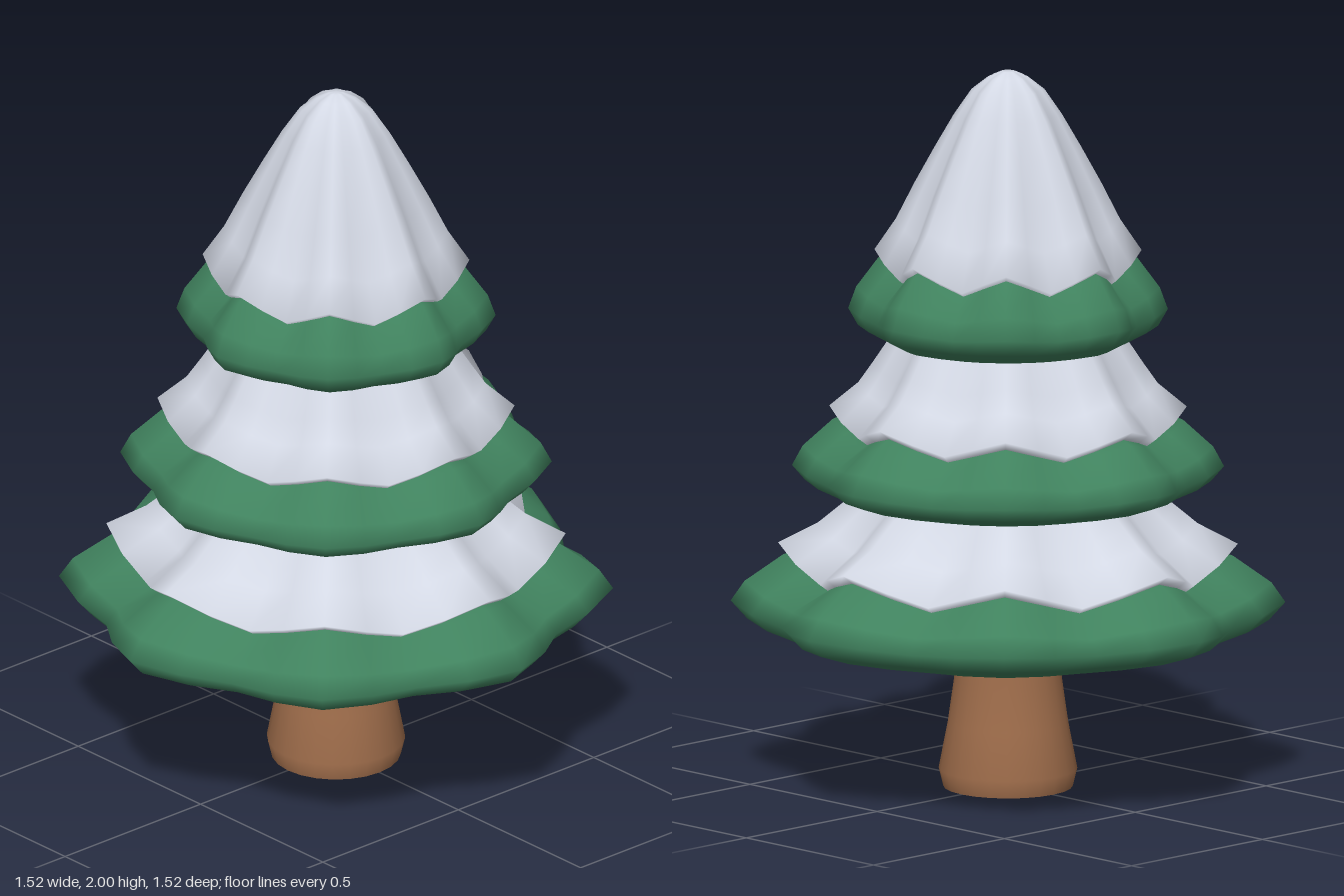
import * as THREE from 'three';

const SEGMENTS = 32;
const LOBES = 8;

const material = (name, color) => {
  const m = new THREE.MeshStandardMaterial({ color });
  m.name = name;
  return m;
};

// Lathe-like surface with eight lobes; profile points run bottom to top as
// [lobe radius, height, drop of the valleys], flute is the valley depth ratio.
function flutedGeometry(profile, flute) {
  const positions = [];
  const indices = [];
  profile.forEach(([r, y, drop], j) => {
    for (let i = 0; i < SEGMENTS; i++) {
      const angle = (i / SEGMENTS) * Math.PI * 2;
      const valley = 0.5 - 0.5 * Math.cos(LOBES * angle);
      const radius = r * (1 - flute * valley);
      positions.push(radius * Math.sin(angle), y - drop * valley, radius * Math.cos(angle));
      if (j === profile.length - 1) continue;
      const a = j * SEGMENTS + i;
      const b = j * SEGMENTS + ((i + 1) % SEGMENTS);
      indices.push(a, b, b + SEGMENTS, a, b + SEGMENTS, a + SEGMENTS);
    }
  });
  const geometry = new THREE.BufferGeometry();
  geometry.setAttribute('position', new THREE.Float32BufferAttribute(positions, 3));
  geometry.setIndex(indices);
  geometry.computeVertexNormals();
  return geometry;
}

// Underside and rolled rim: [radius ratio, depth ratio, drop ratio]
const UNDERSIDE = [[0.001, -1, 0], [0.8, -0.94, 0.15], [0.8, -0.94, 0.15], [0.94, -0.55, 0.2], [1, 0, 0.3]];
// Skirt above the rim: [radius ratio, rise, drop ratio]
const SKIRT = [[0.95, 0.055, 0.5], [0.81, 0.13, 0.85], [0.715, 0.153, 0.8], [0.55, 0.25, 0.4], [0.33, 0.39, 0]];

function foliageProfile({ radius, rim, depth, lift, drop }) {
  const rows = (points, scale) => points.map(([r, y, d]) => [r * radius, rim + y * scale, d * drop]);
  return [...rows(UNDERSIDE, depth), ...rows(SKIRT, lift)];
}

// Snow slope with a tucked-in lip; its scallops fade out towards the top
function snowProfile({ snow, drop }) {
  const [edge, height] = snow[0];
  const slope = snow.map(([r, y]) => [r, y, drop * Math.max(0, (r / edge - 0.42) / 0.58)]);
  return [[edge - 0.04, height - 0.03, drop * 0.95], ...slope];
}

const TIERS = [
  {
    name: 'lower', radius: 0.76, rim: 0.515, depth: 0.092, lift: 1, drop: 0.075, flute: 0.12,
    snow: [[0.63, 0.678], [0.52, 0.735], [0.465, 0.78], [0.41, 0.825], [0.27, 0.98]],
  },
  {
    name: 'middle', radius: 0.592, rim: 0.895, depth: 0.075, lift: 1, drop: 0.058, flute: 0.1,
    snow: [[0.49, 1.062], [0.41, 1.128], [0.37, 1.185], [0.33, 1.245], [0.22, 1.4]],
  },
  {
    name: 'upper', radius: 0.438, rim: 1.335, depth: 0.085, lift: 1.1, drop: 0.062, flute: 0.12,
    snow: [
      [0.366, 1.5], [0.307, 1.587], [0.255, 1.69], [0.2, 1.79], [0.148, 1.88],
      [0.1, 1.95], [0.055, 1.985], [0.02, 2], [0.001, 2],
    ],
  },
];

export function createModel() {
  const bark = material('bark brown', 0x9f6d4b);
  const green = material('foliage green', 0x40825e);
  const white = material('snow white', 0xd3d8e4);
  white.side = THREE.DoubleSide;

  const model = new THREE.Group();
  model.name = 'snowyTree';
  const add = (name, geometry, mat) => {
    const mesh = new THREE.Mesh(geometry, mat);
    mesh.name = name;
    model.add(mesh);
  };

  // Trunk flaring towards the ground
  const trunk = [
    [0, 0], [0.178, 0], [0.178, 0], [0.19, 0.05], [0.165, 0.18], [0.148, 0.3], [0.135, 0.42], [0.13, 0.5],
  ].map(([r, y]) => new THREE.Vector2(r, y));
  add('trunk', new THREE.LatheGeometry(trunk, 24), bark);

  for (const tier of TIERS) {
    add(`${tier.name}Foliage`, flutedGeometry(foliageProfile(tier), tier.flute), green);
    add(`${tier.name}Snow`, flutedGeometry(snowProfile(tier), tier.flute), white);
  }
  return model;
}
